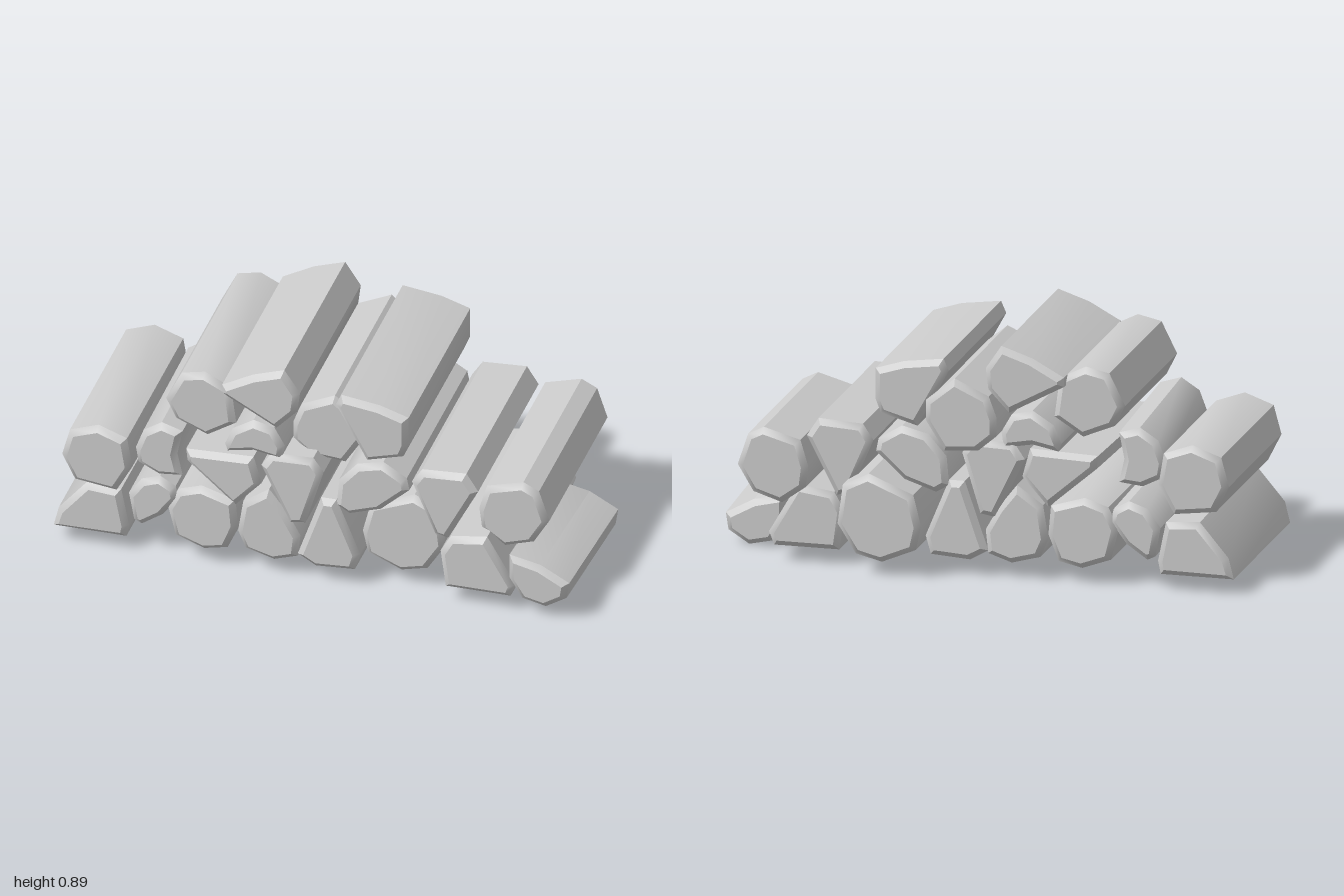
import * as THREE from 'three';
import { toCreasedNormals } from 'three/addons/utils/BufferGeometryUtils.js';

const BEVEL = 0.022;

// A log: outline [x, y] points at the front end, run from zBack to zFront,
// chamfered at both ends; lean shifts the back end sideways and up or down.
function log({ name, outline, z = [-0.38, 0.45], lean = [0, 0] }) {
  const [zBack, zFront] = z;
  const shape = new THREE.Shape(outline.map(([x, y]) => new THREE.Vector2(x, y)));
  const geometry = new THREE.ExtrudeGeometry(shape, {
    depth: zFront - zBack - 2 * BEVEL,
    bevelEnabled: true,
    bevelSegments: 1,
    bevelThickness: BEVEL,
    bevelSize: BEVEL,
    bevelOffset: -BEVEL,
  });
  geometry.translate(0, 0, zBack + BEVEL);

  const p = geometry.attributes.position;
  for (let i = 0; i < p.count; i++) {
    const t = (zFront - p.getZ(i)) / (zFront - zBack);
    p.setX(i, p.getX(i) + lean[0] * t);
    p.setY(i, p.getY(i) + lean[1] * t);
  }
  const material = new THREE.MeshStandardMaterial({ color: 0xcccccc });
  const mesh = new THREE.Mesh(toCreasedNormals(geometry, 0.7), material);
  mesh.name = name;
  return mesh;
}

// Bottom row, left to right
const bottomRow = [
  { name: 'splitLogBottom1', outline: [[-1, 0.06], [-0.98, 0.14], [-0.87, 0.27], [-0.74, 0.26], [-0.71, 0.11], [-0.72, 0.06]] },
  { name: 'halfLogBottom2', lean: [-0.01, -0.015],
    outline: [[-0.69, 0.14], [-0.71, 0.25], [-0.66, 0.32], [-0.59, 0.345], [-0.53, 0.31], [-0.52, 0.26], [-0.58, 0.18], [-0.66, 0.125]] },
  { name: 'roundLogBottom3', outline: [[-0.56, 0.22], [-0.52, 0.3], [-0.43, 0.33], [-0.3, 0.29], [-0.29, 0.18], [-0.33, 0.08], [-0.42, 0.06], [-0.53, 0.1]] },
  { name: 'roundLogBottom4', outline: [[-0.29, 0.16], [-0.27, 0.29], [-0.17, 0.36], [-0.1, 0.27], [-0.05, 0.18], [-0.06, 0.09], [-0.15, 0.06], [-0.26, 0.09]] },
  { name: 'splitLogBottom5', outline: [[-0.06, 0.1], [0.03, 0.36], [0.09, 0.36], [0.18, 0.14], [0.16, 0.07], [0.01, 0.06]] },
  { name: 'thickLogBottom6', z: [-0.48, 0.38],
    outline: [[0.17, 0.2], [0.2, 0.32], [0.37, 0.39], [0.47, 0.34], [0.49, 0.19], [0.42, 0.08], [0.32, 0.055], [0.19, 0.11]] },
  { name: 'splitLogBottom7', outline: [[0.49, 0.21], [0.53, 0.28], [0.67, 0.3], [0.78, 0.11], [0.76, 0.06], [0.51, 0.06]] },
  { name: 'halfLogBottom8', z: [-0.2, 0.465], lean: [0.005, -0.05],
    outline: [[0.76, 0.25], [0.88, 0.225], [0.99, 0.165], [0.98, 0.1], [0.9, 0.05], [0.81, 0.07], [0.76, 0.15]] },
];

// Second row, left to right
const middleRow = [
  { name: 'roundLogMiddle1', z: [-0.3, 0.475],
    outline: [[-0.96, 0.39], [-0.93, 0.5], [-0.82, 0.54], [-0.71, 0.5], [-0.69, 0.38], [-0.75, 0.27], [-0.91, 0.29]] },
  { name: 'halfLogMiddle2', z: [-0.21, 0.46], lean: [-0.015, -0.02],
    outline: [[-0.68, 0.46], [-0.65, 0.54], [-0.58, 0.585], [-0.5, 0.56], [-0.52, 0.46], [-0.5, 0.37], [-0.59, 0.36], [-0.67, 0.4]] },
  { name: 'splitLogMiddle3', lean: [0.01, 0.015],
    outline: [[-0.49, 0.48], [-0.23, 0.49], [-0.2, 0.38], [-0.3, 0.27], [-0.485, 0.43]] },
  { name: 'splitLogMiddle4', outline: [[-0.2, 0.46], [-0.16, 0.52], [0, 0.525], [0.04, 0.47], [-0.03, 0.24], [-0.09, 0.23]] },
  { name: 'halfLogMiddle5', outline: [[0.09, 0.34], [0.1, 0.45], [0.17, 0.53], [0.27, 0.555], [0.36, 0.5], [0.37, 0.45], [0.26, 0.35], [0.14, 0.31]] },
  { name: 'splitLogMiddle6', outline: [[0.38, 0.49], [0.42, 0.55], [0.59, 0.56], [0.635, 0.49], [0.52, 0.27], [0.47, 0.28]] },
  { name: 'roundLogMiddle7', z: [-0.415, 0.385],
    outline: [[0.62, 0.38], [0.65, 0.48], [0.79, 0.52], [0.85, 0.49], [0.89, 0.37], [0.83, 0.27], [0.72, 0.235], [0.63, 0.3]] },
];

// Top of the pile, left to right
const topRow = [
  { name: 'roundLogTop1', z: [-0.33, 0.44],
    outline: [[-0.57, 0.68], [-0.51, 0.8], [-0.42, 0.82], [-0.32, 0.77], [-0.3, 0.62], [-0.41, 0.55], [-0.53, 0.6]] },
  { name: 'halfLogTop2', outline: [[-0.34, 0.53], [-0.31, 0.6], [-0.23, 0.65], [-0.15, 0.63], [-0.11, 0.56], [-0.12, 0.5], [-0.23, 0.52], [-0.33, 0.5]] },
  { name: 'splitLogTop3', z: [-0.38, 0.455],
    outline: [[-0.35, 0.785], [-0.23, 0.85], [-0.11, 0.89], [-0.05, 0.8], [-0.06, 0.72], [-0.14, 0.635], [-0.35, 0.75]] },
  { name: 'roundLogTop4', z: [-0.41, 0.37],
    outline: [[-0.1, 0.62], [-0.07, 0.7], [0.06, 0.76], [0.17, 0.67], [0.17, 0.59], [0.1, 0.48], [-0.03, 0.49], [-0.1, 0.55]] },
  { name: 'splitLogTop5', z: [-0.385, 0.46],
    outline: [[0.09, 0.78], [0.11, 0.825], [0.26, 0.805], [0.37, 0.77], [0.37, 0.65], [0.35, 0.6], [0.21, 0.56]] },
];

export function createModel() {
  const pile = new THREE.Group();
  pile.name = 'logPile';
  const rows = { bottomRow, middleRow, topRow };
  for (const [name, logs] of Object.entries(rows)) {
    const row = new THREE.Group();
    row.name = name;
    row.add(...logs.map(log));
    pile.add(row);
  }
  return pile;
}
